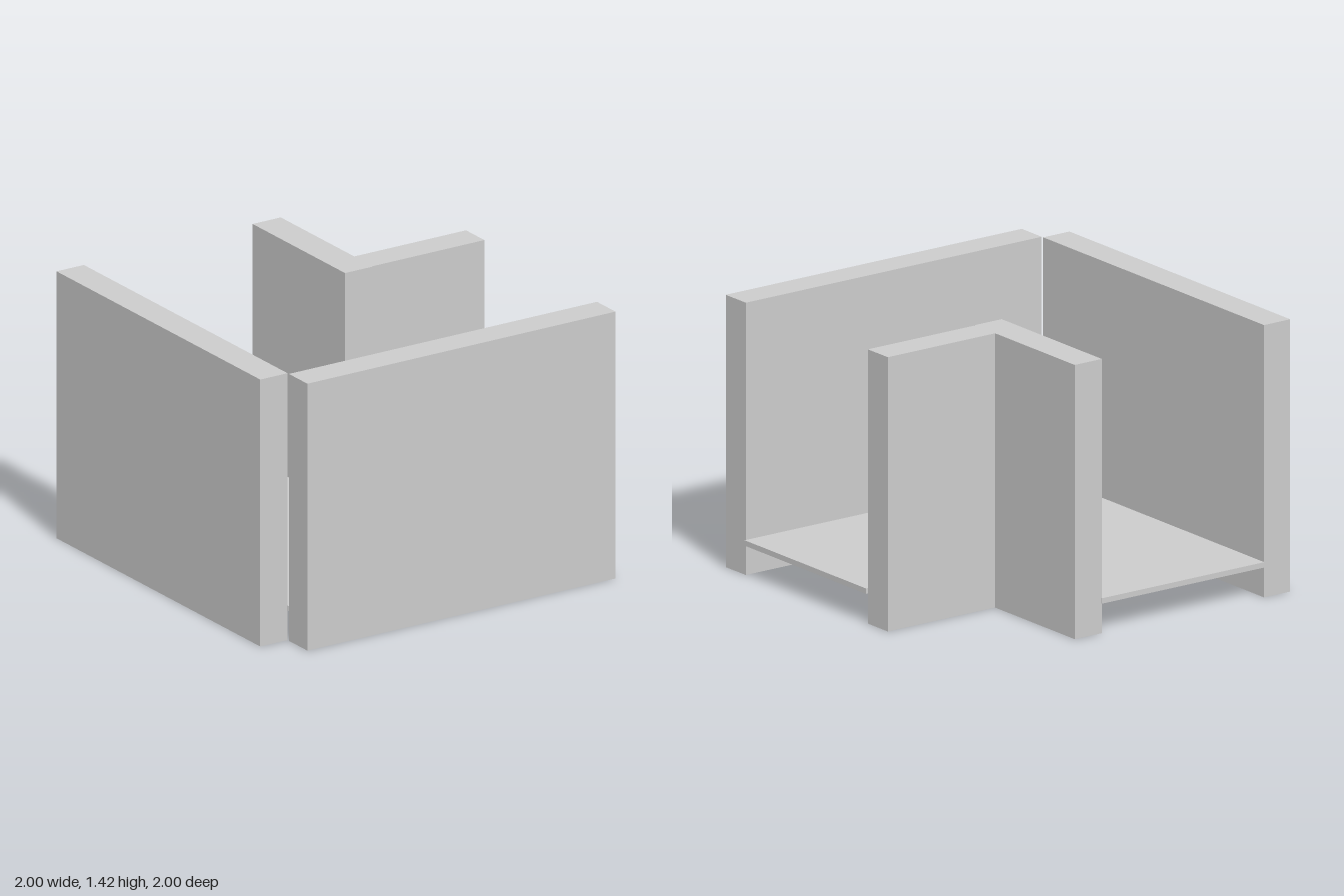
import * as THREE from 'three';

export function createModel() {
  const group = new THREE.Group();
  const material = new THREE.MeshStandardMaterial({ color: 0xcccccc, flatShading: true });

  // Adds a box given its extents along each axis
  function slab(name, [x0, x1], [y0, y1], [z0, z1]) {
    const mesh = new THREE.Mesh(new THREE.BoxGeometry(x1 - x0, y1 - y0, z1 - z0), material);
    mesh.position.set((x0 + x1) / 2, (y0 + y1) / 2, (z0 + z1) / 2);
    mesh.name = name;
    group.add(mesh);
  }

  // Outer walls
  slab('rightWall', [-1, -0.838], [0, 1.41], [-0.998, 0.823]);
  slab('frontWall', [-0.838, 0.99], [0, 1.41], [0.835, 1]);

  // Inner corner walls, slightly taller
  slab('innerSideWall', [0.16, 0.327], [0, 1.42], [-0.993, -0.167]);
  slab('innerBackWall', [0.327, 0.99], [0, 1.42], [-0.336, -0.172]);

  // L-shaped floor, raised above the ground; drawn in x and -z
  const outline = [[-0.838, -0.831], [1, -0.831], [1, 0.17], [0.163, 0.17], [0.163, 1], [-0.838, 1]];
  const shape = new THREE.Shape(outline.map(([x, y]) => new THREE.Vector2(x, y)));
  const floor = new THREE.Mesh(
    new THREE.ExtrudeGeometry(shape, { depth: 0.028, bevelEnabled: false }), material);
  floor.rotation.x = -Math.PI / 2;
  floor.position.y = 0.155;
  floor.name = 'floor';
  group.add(floor);

  return group;
}
